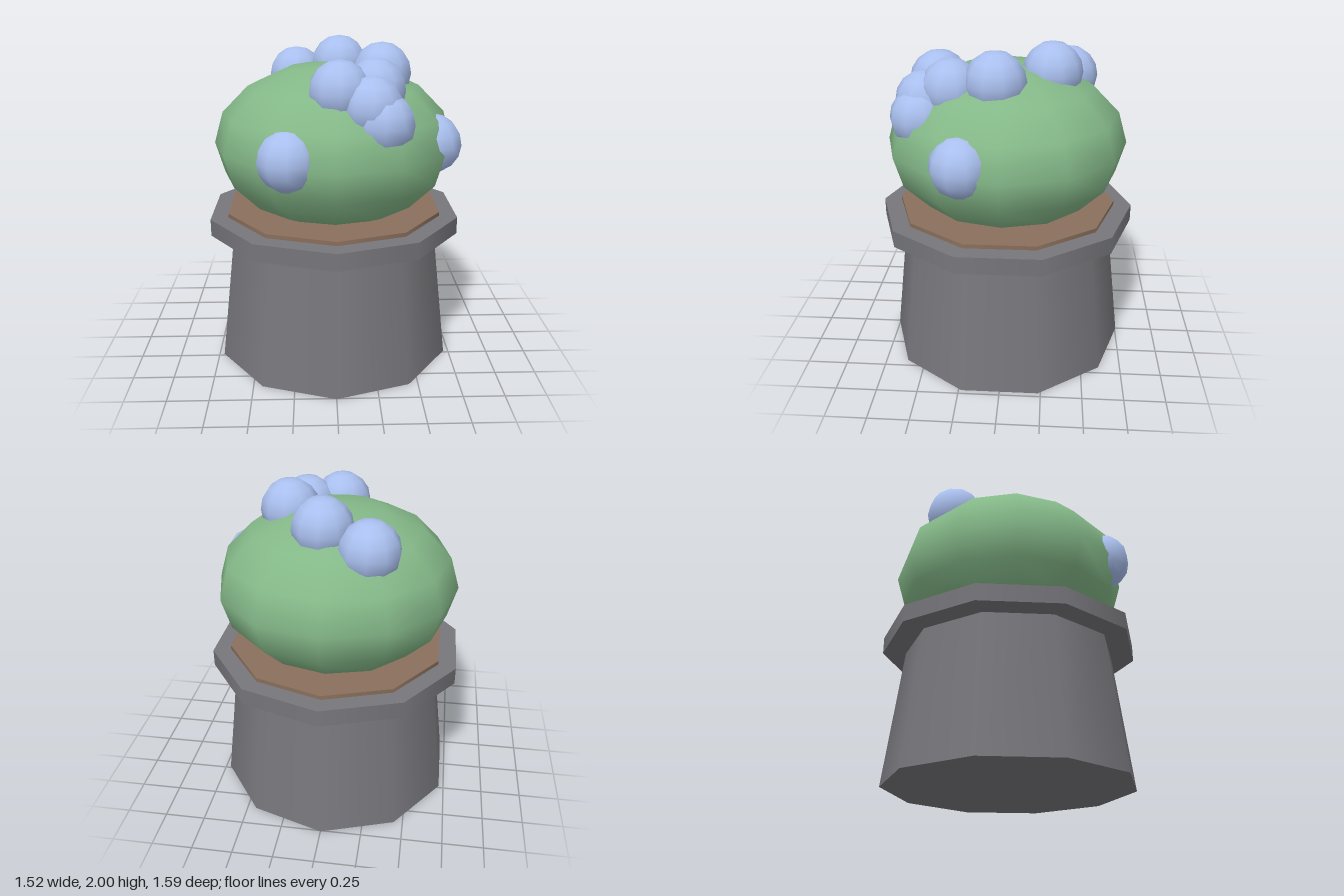
import * as THREE from 'three';

const material = (color) => new THREE.MeshStandardMaterial({ color });

export function createModel() {
  const model = new THREE.Group();
  model.name = 'pottedPlant';

  const add = (name, geometry, mat, x, y, z) => {
    const mesh = new THREE.Mesh(geometry, mat);
    mesh.name = name;
    mesh.position.set(x, y, z);
    model.add(mesh);
    return mesh;
  };

  // Ten-sided tapered pot with a rim and a disc of soil
  const SIDES = 10;
  const disc = (name, rTop, rBottom, y0, y1, mat) =>
    add(name, new THREE.CylinderGeometry(rTop, rBottom, y1 - y0, SIDES), mat, 0, (y0 + y1) / 2, 0);
  const clay = material(0x77767b);
  disc('potBody', 0.655, 0.757, 0, 0.84, clay);
  disc('potRim', 0.797, 0.797, 0.84, 0.945, clay);
  disc('soil', 0.685, 0.685, 0.9, 0.97, material(0x8a6f5c));

  // Squashed round plant
  const plant = new THREE.SphereGeometry(0.74, 12, 8).scale(1, 0.5 / 0.74, 1);
  add('plantBody', plant, material(0x84b888), 0, 1.37, 0);

  // Round blossoms half sunk into the plant
  const blossom = new THREE.SphereGeometry(0.18, 10, 8).rotateY(Math.PI / 2);
  const petal = material(0xa9bfee);
  [
    [0.045, 1.818, -0.275],
    [-0.23, 1.735, -0.375],
    [0.29, 1.81, 0.045],
    [0.025, 1.755, 0.4],
    [0.23, 1.752, 0.305],
    [0.2, 1.675, 0.46],
    [0.265, 1.59, 0.485],
    [-0.265, 1.403, 0.563],
    [0.58, 1.41, 0.22],
  ].forEach(([x, y, z], i) => add(`blossom${i + 1}`, blossom, petal, x, y, z));

  return model;
}
